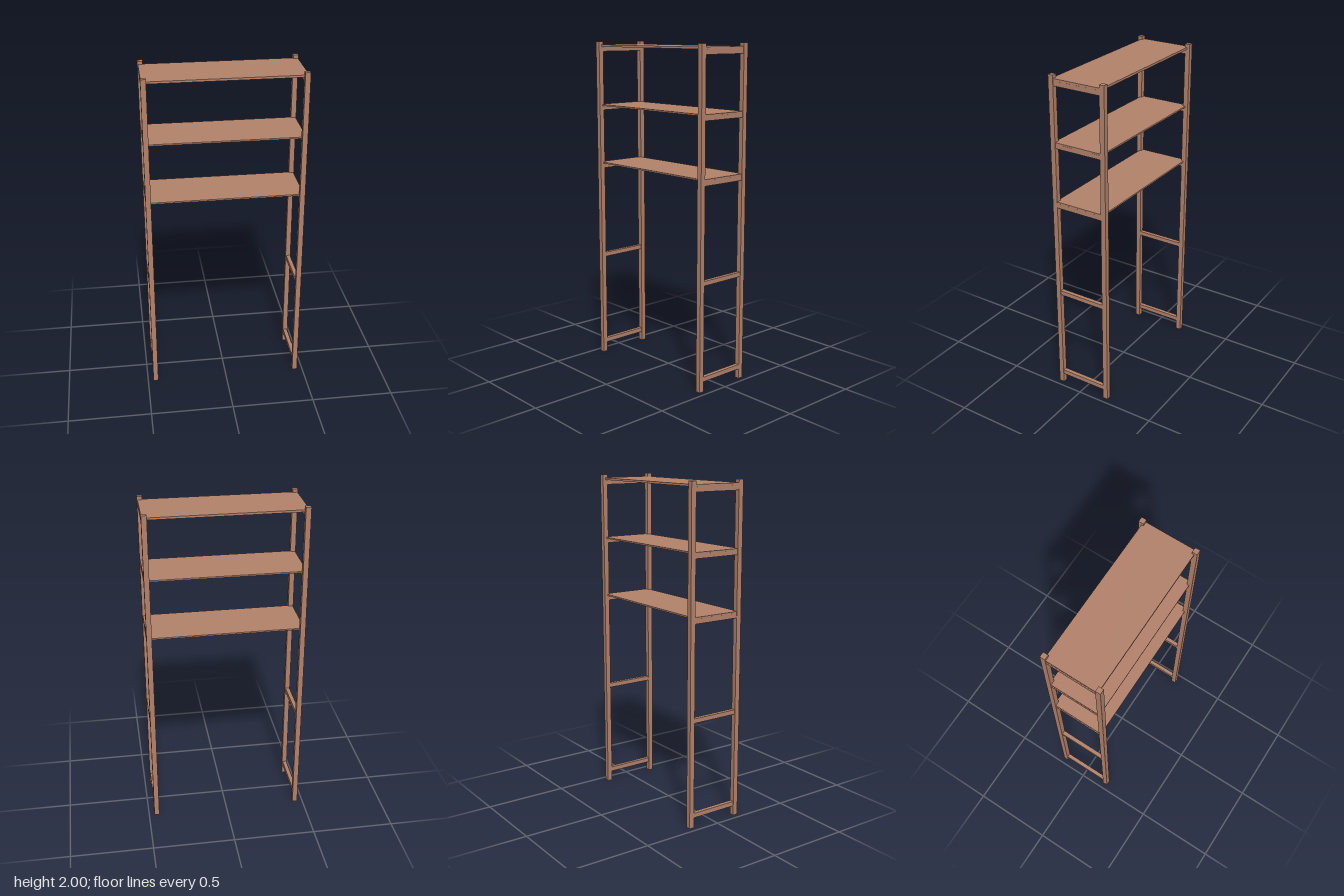
import * as THREE from 'three';

export function createModel() {
  const model = new THREE.Group();
  model.name = 'shelvingUnit';
  const wood = new THREE.MeshStandardMaterial({ color: 0xb3826b });
  wood.name = 'warm brown wood';

  // Box given by its centre x and z, and its bottom and top heights
  function addBox(parent, name, x, z, bottom, top, width, depth) {
    const mesh = new THREE.Mesh(new THREE.BoxGeometry(width, top - bottom, depth), wood);
    mesh.name = name;
    mesh.position.set(x, (bottom + top) / 2, z);
    parent.add(mesh);
  }

  // Bottom and top of each side rung, lowest first
  const rungs = [
    [0.06, 0.088], [0.64, 0.667],
    [1.217, 1.246], [1.581, 1.607], [1.94, 1.968],
  ];

  // Two ladder-like side frames: two posts joined by rungs
  for (const side of [1, -1]) {
    const frame = new THREE.Group();
    frame.name = side > 0 ? 'leftFrame' : 'rightFrame';
    addBox(frame, 'frontPost', side * 0.451, 0.162, 0, 2, 0.031, 0.031);
    addBox(frame, 'backPost', side * 0.451, -0.166, 0, 2, 0.031, 0.031);
    for (const [bottom, top] of rungs) {
      addBox(frame, 'rung', side * 0.451, -0.002, bottom, top, 0.025, 0.318);
    }
    model.add(frame);
  }

  // Thin shelves resting on the upper three rungs
  for (const [bottom, top] of [[1.246, 1.255], [1.607, 1.616], [1.968, 1.981]]) {
    addBox(model, 'shelf', 0, -0.002, bottom, top, 0.926, 0.322);
  }
  return model;
}
